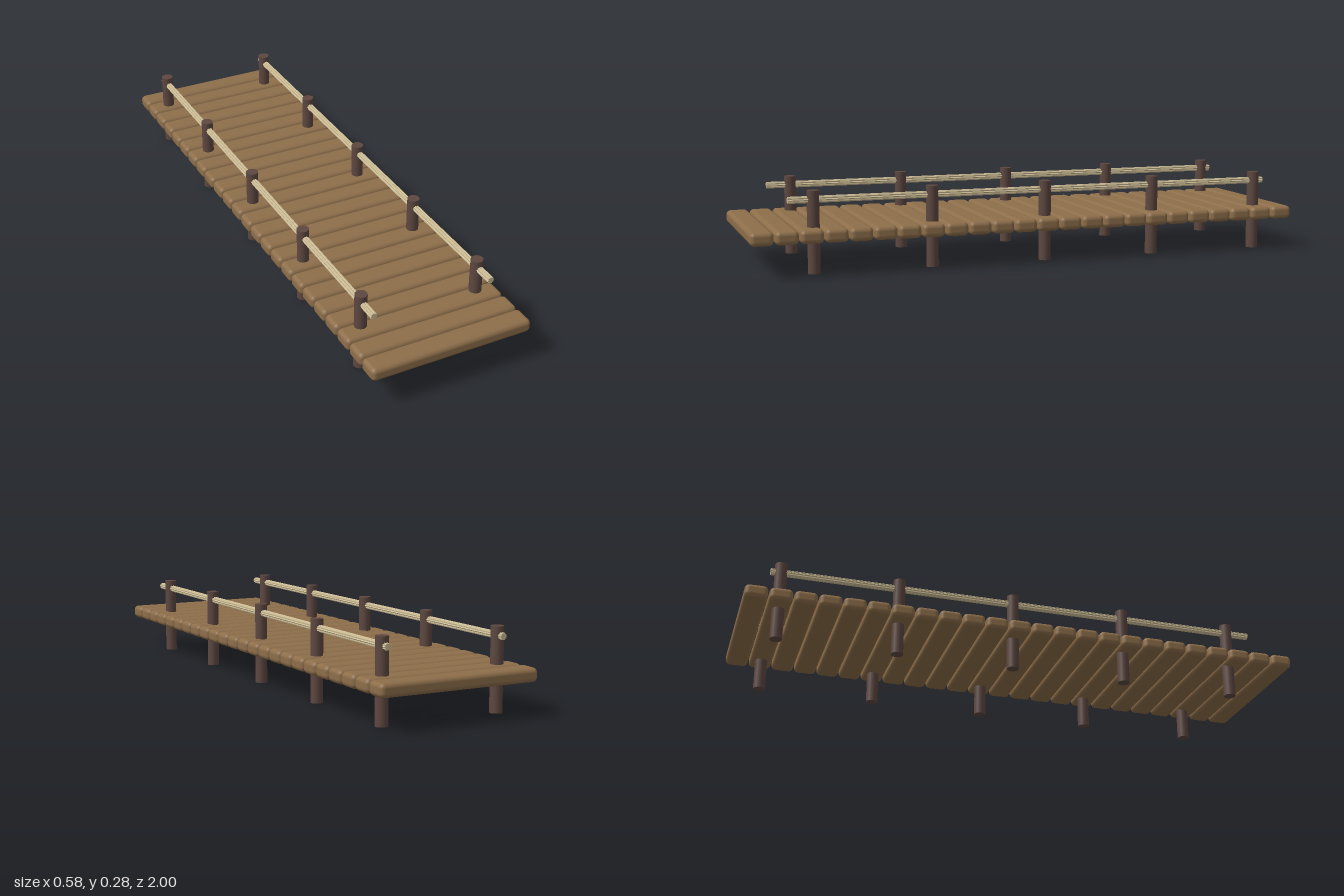
import * as THREE from 'three';
import { RoundedBoxGeometry } from 'three/addons/geometries/RoundedBoxGeometry.js';

const material = (name, color) => {
  const m = new THREE.MeshStandardMaterial({ color });
  m.name = name;
  return m;
};

export function createModel() {
  const bridge = new THREE.Group();
  bridge.name = 'plankBridge';
  const plankWood = material('plankWood', 0x8d6e4a);
  const postWood = material('postWood', 0x5d4740);
  const ropeFibre = material('ropeFibre', 0xcbbb94);

  const add = (name, geometry, mat, x, y, z) => {
    const mesh = new THREE.Mesh(geometry, mat);
    mesh.name = name;
    mesh.position.set(x, y, z);
    bridge.add(mesh);
  };

  // Deck of rounded planks
  const plankCount = 24, plankDepth = 0.079;
  const pitch = (2 - plankDepth) / (plankCount - 1);
  const plank = new RoundedBoxGeometry(0.582, 0.047, plankDepth, 3, 0.016);
  for (let i = 0; i < plankCount; i++) {
    add('plank', plank, plankWood, 0, 0.1355, -1 + plankDepth / 2 + i * pitch);
  }

  // Ridged rope cross-section, extruded along z
  const section = new THREE.Shape();
  const ridges = 10;
  for (let i = 0; i < ridges * 2; i++) {
    const a = (i * Math.PI) / ridges;
    const r = i % 2 ? 0.0098 : 0.0122;
    const x = Math.cos(a) * r, y = Math.sin(a) * r;
    if (i) section.lineTo(x, y);
    else section.moveTo(x, y);
  }
  section.closePath();
  const ropeGeometry = new THREE.ExtrudeGeometry(section, { depth: 1.776, bevelEnabled: false });

  // Posts and handrail rope on both sides
  const post = new THREE.CylinderGeometry(0.0215, 0.0215, 0.283, 14);
  for (const side of [-1, 1]) {
    const label = side > 0 ? 'left' : 'right';
    for (let i = 0; i < 5; i++) {
      add(label + 'Post', post, postWood, side * 0.215, 0.1415, -0.878 + i * 0.4137);
    }
    add(label + 'HandRope', ropeGeometry, ropeFibre, side * 0.215, 0.252, -0.913);
  }
  return bridge;
}
